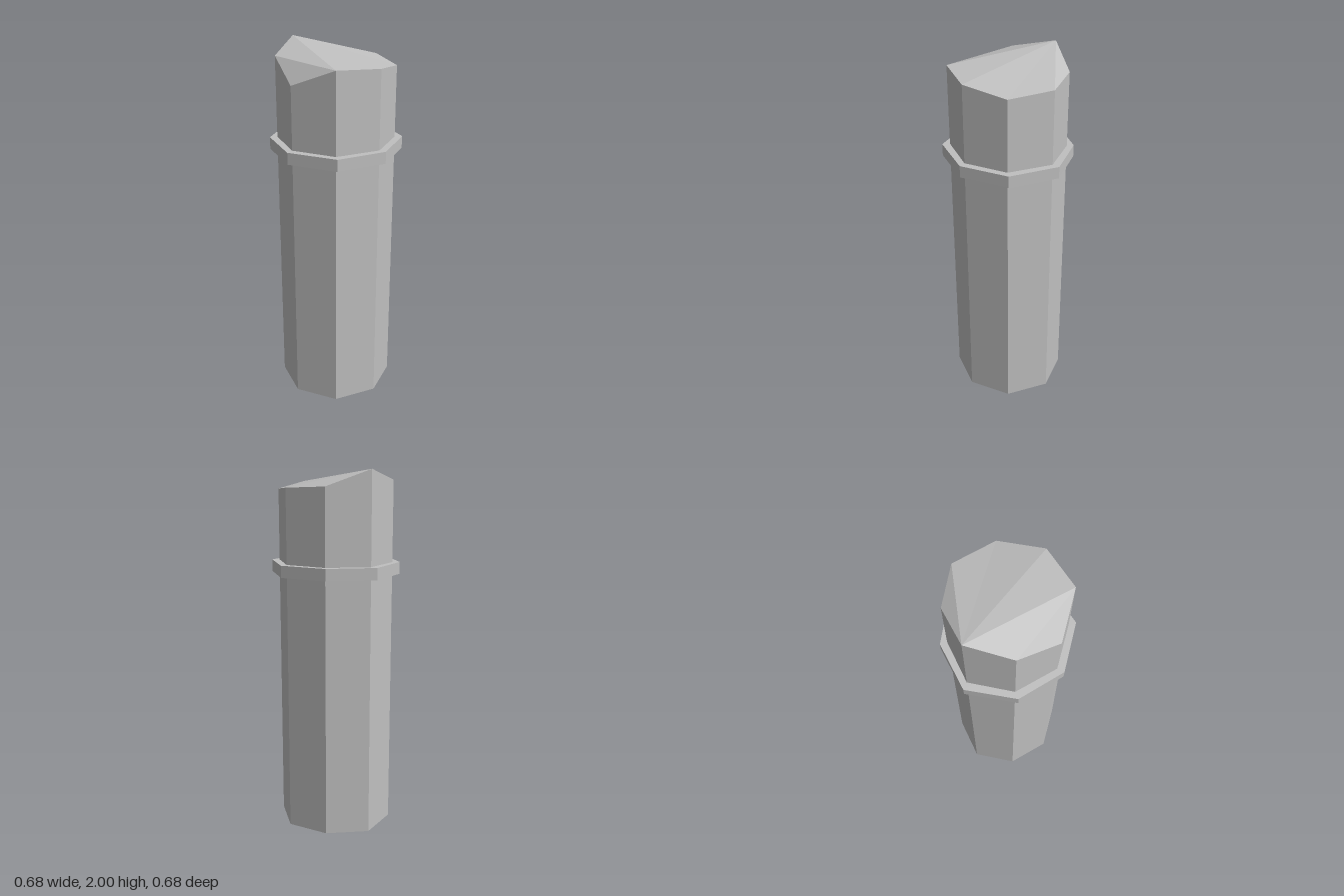
import * as THREE from 'three';

// Corners of the uneven octagon [x, z], clockwise seen from above
const shaftCorners = [
  [-0.10, -0.307], [0.137, -0.265], [0.302, -0.095], [0.285, 0.15],
  [0.098, 0.307], [-0.147, 0.292], [-0.303, 0.103], [-0.28, -0.14],
];
const bandCorners = [
  [-0.122, -0.343], [0.147, -0.302], [0.338, -0.115], [0.325, 0.162],
  [0.117, 0.341], [-0.158, 0.332], [-0.339, 0.121], [-0.32, -0.149],
];
// Height of the broken tip at each shaft corner
const tipHeights = [2.0, 1.913, 1.903, 1.89, 1.925, 1.94, 1.84, 1.94];

// Cap triangles: a fan from the peak, with the low corner cut off on its own
const cap = [[0, 1, 2], [0, 2, 3], [0, 3, 4], [0, 4, 5], [0, 5, 7], [5, 6, 7]];

// Closed prism with a flat base and a separate top height for each corner
function prism(corners, baseY, topHeights) {
  const bottom = corners.map(([x, z]) => [x, baseY, z]);
  const top = corners.map(([x, z], i) => [x, topHeights[i], z]);
  const points = [];
  const tri = (a, b, c) => points.push(...a, ...b, ...c);
  corners.forEach((_, i) => {
    const j = (i + 1) % corners.length;
    tri(bottom[i], top[i], top[j]);
    tri(bottom[i], top[j], bottom[j]);
  });
  for (const [a, b, c] of cap) {
    tri(top[a], top[c], top[b]);
    tri(bottom[a], bottom[b], bottom[c]);
  }
  const geometry = new THREE.BufferGeometry();
  geometry.setAttribute('position', new THREE.Float32BufferAttribute(points, 3));
  geometry.computeVertexNormals();
  return geometry;
}

export function createModel() {
  const group = new THREE.Group();
  group.name = 'brokenColumn';
  const stone = new THREE.MeshStandardMaterial({ color: 0xc0c0c0 });
  stone.name = 'paleGreyStone';

  // Tall shaft with a slanted, broken top
  const shaft = new THREE.Mesh(prism(shaftCorners, 0, tipHeights), stone);
  shaft.name = 'shaft';

  // Raised band around the upper shaft
  const band = new THREE.Mesh(prism(bandCorners, 1.435, Array(8).fill(1.5)), stone);
  band.name = 'band';

  group.add(shaft, band);
  return group;
}
